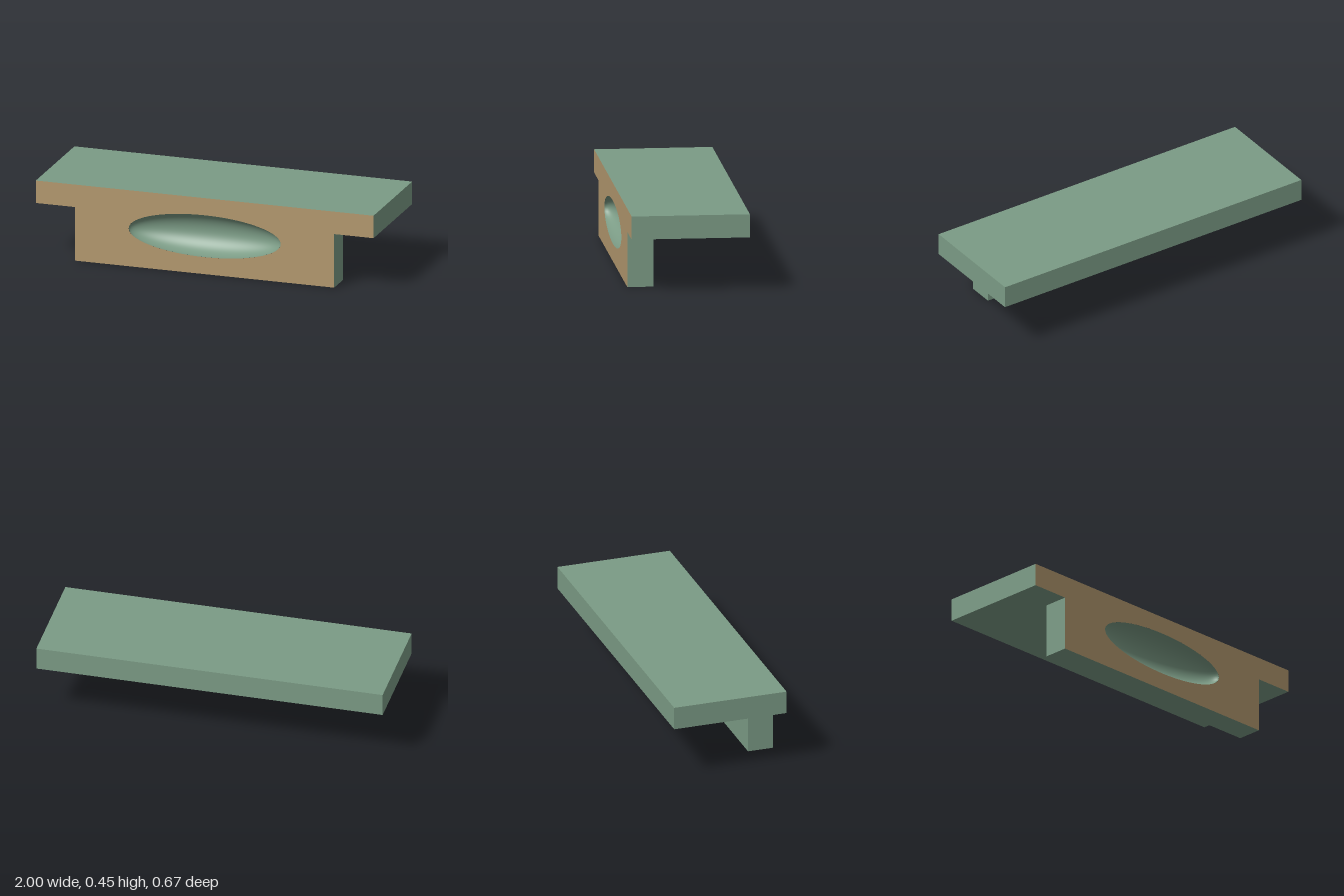
import * as THREE from 'three';

const green = new THREE.MeshStandardMaterial({ color: 0x7b9b85 });
green.name = 'sage green';
const tan = new THREE.MeshStandardMaterial({ color: 0xb3996f });
tan.name = 'tan';

const FRONT = 0.333, BACK = -0.333, INNER = 0.185; // z planes
const TOP = 0.447, LEDGE = 0.315;                  // y planes
const W = 1, LEG = 0.767;                          // half widths
const BOWL = { y: 0.223, rx: 0.45, ry: 0.123, depth: 0.12 };

// Box between two corners, leaving out faces (0 +x, 1 -x, 2 +y, 3 -y, 4 +z, 5 -z)
function openBox(halfWidth, y0, y1, z0, z1, omit) {
  const g = new THREE.BoxGeometry(halfWidth * 2, y1 - y0, z1 - z0);
  const index = Array.from(g.index.array).filter((_, i) => !omit.includes(Math.floor(i / 6)));
  g.setIndex(index);
  g.clearGroups();
  return g.translate(0, (y0 + y1) / 2, (z0 + z1) / 2);
}

function outline(points) {
  return new THREE.Shape(points.map(([x, y]) => new THREE.Vector2(x, y)));
}

export function createModel() {
  const model = new THREE.Group();
  model.name = 'shelf';
  const add = (name, geometry, material) => {
    const mesh = new THREE.Mesh(geometry, material);
    mesh.name = name;
    model.add(mesh);
  };

  // Top slab and front apron, open where they join and at the front
  add('slab', openBox(W, LEDGE, TOP, BACK, FRONT, [3, 4]), green);
  add('apron', openBox(LEG, 0, LEDGE, INNER, FRONT, [2, 4]), green);

  // Underside of the slab, notched around the apron
  const under = outline([[-W, BACK], [W, BACK], [W, FRONT], [LEG, FRONT],
    [LEG, INNER], [-LEG, INNER], [-LEG, FRONT], [-W, FRONT]]);
  add('slabUnderside', new THREE.ShapeGeometry(under).rotateX(Math.PI / 2).translate(0, LEDGE, 0), green);

  // T-shaped front face with an oval opening
  const face = outline([[-LEG, 0], [LEG, 0], [LEG, LEDGE], [W, LEDGE],
    [W, TOP], [-W, TOP], [-W, LEDGE], [-LEG, LEDGE]]);
  const hole = new THREE.Path();
  hole.absellipse(0, BOWL.y, BOWL.rx, BOWL.ry, 0, Math.PI * 2, true);
  face.holes.push(hole);
  add('frontFace', new THREE.ShapeGeometry(face, 64).translate(0, 0, FRONT), tan);

  // Hollow half-ellipsoid behind the opening, turned inside out
  const bowl = new THREE.SphereGeometry(1, 64, 24, 0, Math.PI * 2, 0, Math.PI / 2);
  bowl.rotateX(-Math.PI / 2).scale(BOWL.rx, BOWL.ry, BOWL.depth).translate(0, BOWL.y, FRONT);
  bowl.setIndex(Array.from(bowl.index.array).reverse());
  const n = bowl.attributes.normal;
  for (let i = 0; i < n.count; i++) n.setXYZ(i, -n.getX(i), -n.getY(i), -n.getZ(i));
  add('ovalRecess', bowl, green);

  return model;
}
